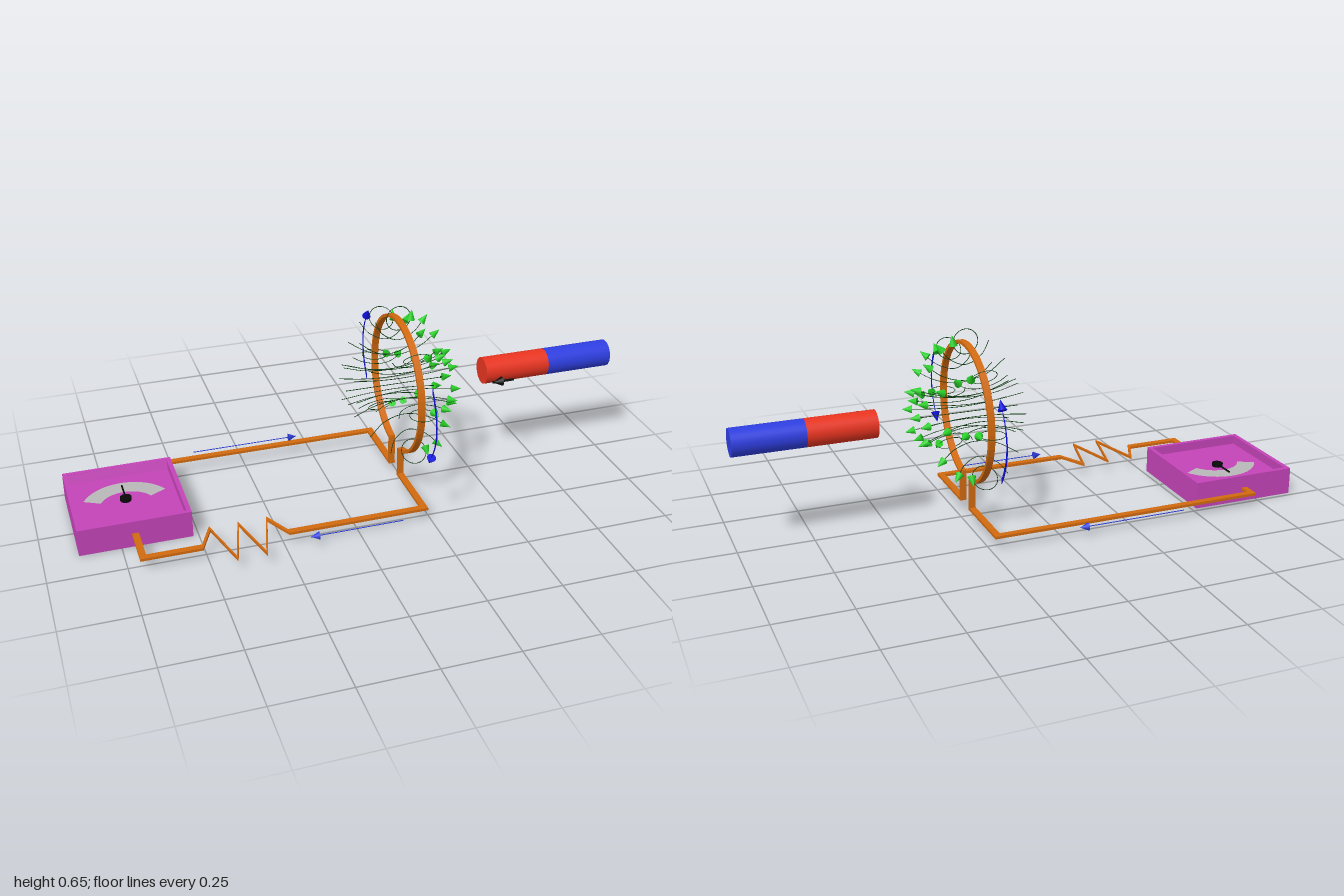
import * as THREE from 'three';

const mat = (color, side = THREE.FrontSide) => new THREE.MeshStandardMaterial({ color, side });
const copper = mat(0xd26a10), purple = mat(0xc444b8), green = mat(0x28d028), lineGreen = mat(0x0c3c10);
const blue = mat(0x2e3ee0), arrowBlue = mat(0x0c10d8), red = mat(0xe83420), black = mat(0x080808);
const grey = mat(0xb8b8b8, THREE.DoubleSide);
const V = (x, y, z = 0) => new THREE.Vector3(x, y, z);

function add(parent, name, geometry, material, x = 0, y = 0, z = 0) {
  const mesh = new THREE.Mesh(geometry, material);
  mesh.name = name;
  mesh.position.set(x, y, z);
  parent.add(mesh);
  return mesh;
}
const box = (parent, name, m, w, h, d, x, y, z) => add(parent, name, new THREE.BoxGeometry(w, h, d), m, x, y, z);

// Cone centred on a point and aimed along a direction
function cone(parent, name, m, pos, dir, r, h) {
  const mesh = add(parent, name, new THREE.ConeGeometry(r, h, 14), m, pos.x, pos.y, pos.z);
  mesh.quaternion.setFromUnitVectors(V(0, 1, 0), dir.clone().normalize());
}

// Straight arrow parallel to x
function arrow(parent, name, m, x0, x1, y, z, thick, r, h) {
  const s = Math.sign(x1 - x0);
  const shaft = add(parent, name + 'Shaft', new THREE.CylinderGeometry(thick, thick, Math.abs(x1 - x0), 6), m, (x0 + x1) / 2, y, z);
  shaft.rotation.z = Math.PI / 2;
  cone(parent, name + 'Head', m, V(x1 - s * h / 2, y, z), V(s, 0, 0), r, h);
}

function makeMeter() {
  const g = new THREE.Group();
  g.name = 'meter';
  g.position.set(-0.702, 0, -0.05);
  const half = 0.184, rim = 0.015, floor = 0.062, top = 0.093;
  box(g, 'meterBase', purple, half * 2, floor, half * 2, 0, floor / 2, 0);
  for (const s of [-1, 1]) {
    box(g, 'meterSideRim', purple, rim, top - floor, half * 2, s * (half - rim / 2), (top + floor) / 2, 0);
    box(g, 'meterEndRim', purple, half * 2 - 2 * rim, top - floor, rim, 0, (top + floor) / 2, s * (half - rim / 2));
  }
  // Sloping panel inside the back rim
  const slope = box(g, 'backSlope', purple, half * 2 - 2 * rim, 0.034, 0.003, 0, (top + floor) / 2 - 0.001, -half + rim + 0.006);
  slope.rotation.x = -0.4;
  // Scale is a ring sector opening towards the front
  const a = 62 * Math.PI / 180;
  const scale = add(g, 'dialScale', new THREE.RingGeometry(0.094, 0.154, 24, 1, Math.PI / 2 - a, 2 * a), grey, 0, floor + 0.003, 0.044);
  scale.rotation.x = -Math.PI / 2;
  add(g, 'needlePivot', new THREE.CylinderGeometry(0.019, 0.019, 0.012, 20), black, 0, floor + 0.006, -0.003);
  box(g, 'needle', black, 0.005, 0.004, 0.085, 0, floor + 0.007, -0.043);
  return g;
}

function makeCircuit() {
  const g = new THREE.Group();
  g.name = 'circuit';
  const y = 0.045, w = 0.022, t = 0.009, X = 0.227;
  // Back wire, meter leads and loop leads
  box(g, 'backWire', copper, 0.93 + w, t, w, -0.238, y, -0.281);
  box(g, 'backMeterLead', copper, w, t, 0.07, -0.703, y, -0.25);
  box(g, 'frontMeterLead', copper, w, t, 0.15, -0.703, y, 0.2);
  for (const s of [-1, 1]) {
    box(g, 'loopLead', copper, w, t, 0.24, X, y, s * 0.161);
    box(g, 'loopRiser', copper, w, 0.106, 0.008, X, 0.094, s * 0.045 - 0.002);
  }
  // Front wire with the zigzag resistor, a band of constant depth in z
  const path = [[-0.714, 0], [-0.515, 0], [-0.472, -0.095], [-0.425, 0.093], [-0.378, -0.095], [-0.331, 0.093],
    [-0.283, -0.095], [-0.235, 0], [0.238, 0]];
  const band = [...path.map(([x, z]) => new THREE.Vector2(x, -z - w / 2)),
    ...path.slice().reverse().map(([x, z]) => new THREE.Vector2(x, -z + w / 2))];
  const geo = new THREE.ExtrudeGeometry(new THREE.Shape(band), { depth: t, bevelEnabled: false });
  add(g, 'resistorWire', geo.rotateX(-Math.PI / 2), copper, 0, y - t / 2, 0.273);
  // Open ring
  const gap = 0.195, a0 = -Math.PI / 2 + gap, a1 = 1.5 * Math.PI - gap;
  const ring = new THREE.Shape();
  ring.absarc(0, 0, 0.237, a0, a1, false);
  ring.absarc(0, 0, 0.227, a1, a0, true);
  const ringGeo = new THREE.ExtrudeGeometry(ring, { depth: w, bevelEnabled: false, curveSegments: 28 });
  ringGeo.translate(0, 0, -w / 2).rotateY(Math.PI / 2);
  add(g, 'loop', ringGeo, copper, X, 0.372, -0.002);
  return g;
}

function makeField() {
  const g = new THREE.Group();
  g.name = 'fieldLines';
  g.position.set(0.227, 0.372, -0.002);
  // Each half-plane curve: x along the axis, y away from it
  const curves = [
    [[-0.08, 0.235], [-0.055, 0.19], [0, 0.162], [0.055, 0.185], [0.09, 0.228]],
    [[-0.135, 0.168], [-0.075, 0.125], [0, 0.108], [0.075, 0.128], [0.132, 0.169]],
    [[-0.175, 0.093], [-0.09, 0.065], [0, 0.055], [0.09, 0.067], [0.174, 0.095]],
  ].map(pts => new THREE.CatmullRomCurve3(pts.map(p => V(...p))));
  for (let k = 0; k < 8; k++) {
    if (k === 4) continue; // none at the loop's opening
    const plane = new THREE.Group();
    plane.name = 'fieldPlane';
    plane.rotation.x = k * Math.PI / 4;
    g.add(plane);
    add(plane, 'fieldCircle', new THREE.TorusGeometry(0.042, 0.0012, 4, 28), lineGreen, 0, 0.239, 0);
    cone(plane, 'fieldArrow', green, V(0.044, 0.247), V(0.1, 1, 0), 0.014, 0.036);
    for (const c of curves) {
      add(plane, 'fieldLine', new THREE.TubeGeometry(c, 20, 0.0012, 4), lineGreen);
      cone(plane, 'fieldArrow', green, c.getPoint(1), c.getTangent(1), 0.0135, 0.034);
    }
  }
  arrow(g, 'axisField', lineGreen, -0.18, 0.165, 0, 0, 0.0012, 0.004, 0.01);
  cone(g, 'fieldArrow', green, V(0.179, 0), V(1, 0, 0), 0.0135, 0.034);
  return g;
}

// Thin crescent arrows beside the loop showing the current's sense
function makeCurl(flip) {
  const g = new THREE.Group();
  g.name = 'curvedCurrentArrow';
  g.position.set(0.227, 0.373, -0.002);
  g.rotation.x = flip ? Math.PI : 0;
  const s = new THREE.Shape();
  s.moveTo(-0.317, 0.134);
  s.quadraticCurveTo(-0.416, 0, -0.317, -0.118);
  s.quadraticCurveTo(-0.400, 0, -0.317, 0.117);
  const geo = new THREE.ExtrudeGeometry(s, { depth: 0.002, bevelEnabled: false, curveSegments: 20 });
  add(g, 'arrowBody', geo.translate(0, 0, -0.001).rotateY(Math.PI / 2), arrowBlue);
  cone(g, 'arrowHead', arrowBlue, V(0, -0.124, 0.316), V(0, -1, -0.65), 0.015, 0.036);
  return g;
}

function makeMagnet() {
  const g = new THREE.Group();
  g.name = 'barMagnet';
  [[red, 'nearPole', 0.535, 0.765], [blue, 'farPole', 0.765, 1]].forEach(([m, name, x0, x1]) => {
    const geo = new THREE.CylinderGeometry(0.046, 0.046, x1 - x0, 32).rotateZ(Math.PI / 2);
    add(g, name, geo, m, (x0 + x1) / 2, 0.373, -0.003);
  });
  return g;
}

export function createModel() {
  const model = new THREE.Group();
  model.name = 'inductionExperiment';
  model.add(makeMeter(), makeCircuit(), makeField(), makeCurl(false), makeCurl(true), makeMagnet());
  arrow(model, 'motionArrow', black, 0.612, 0.535, 0.372, 0.09, 0.004, 0.016, 0.034);
  arrow(model, 'backCurrentArrow', blue, -0.42, -0.043, 0.046, -0.321, 0.0015, 0.0135, 0.028);
  arrow(model, 'frontCurrentArrow', blue, 0.137, -0.176, 0.046, 0.323, 0.0015, 0.0135, 0.028);
  return model;
}
